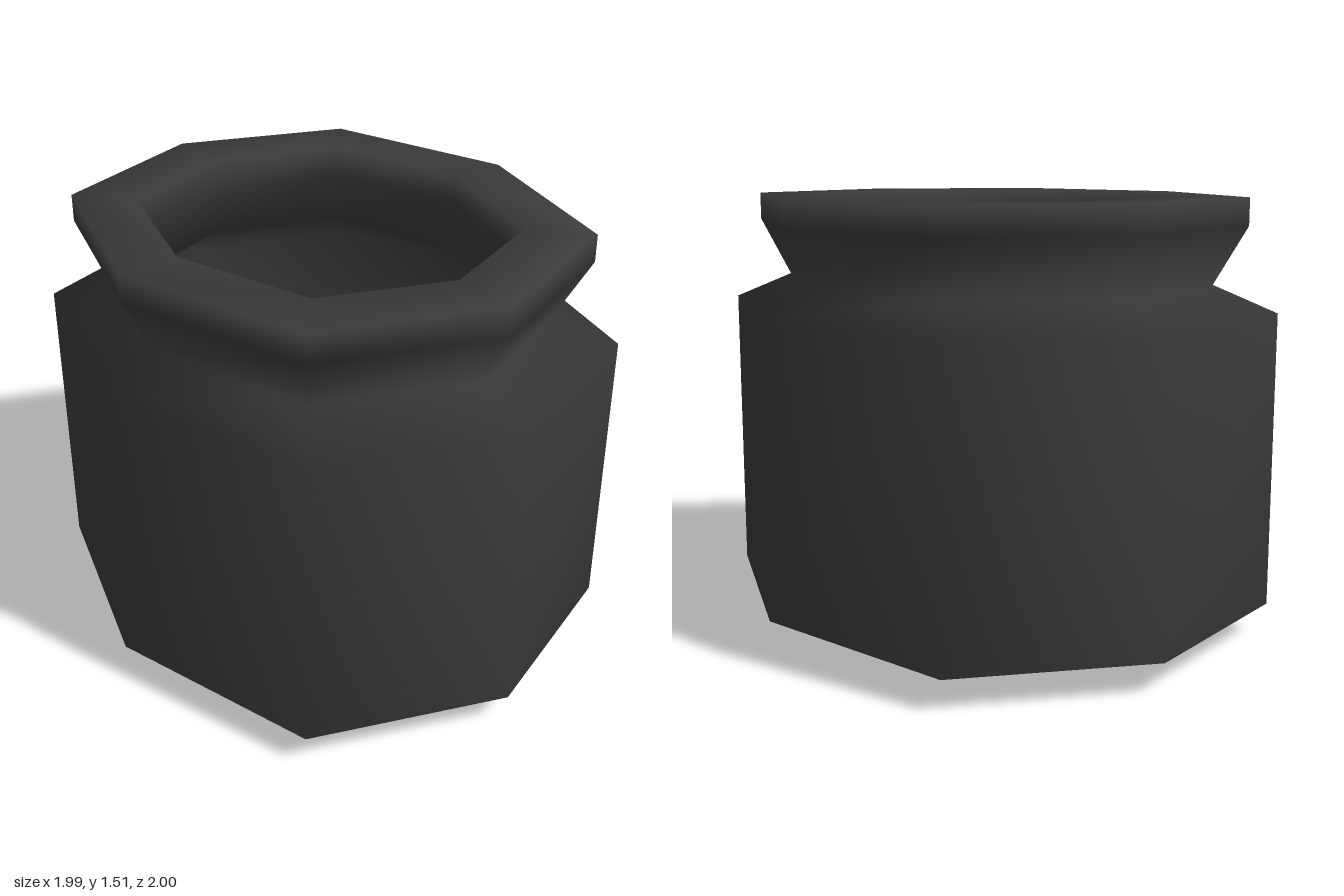
import * as THREE from 'three';

// Irregular eight-sided outline (x, z); the second half mirrors the first through the centre
const half = [[-0.02, -1], [0.655, -0.595], [0.995, 0.115], [0.675, 0.745]];
const outline = [...half, ...half.map(([x, z]) => [-x, -z])];

// Sweeps a profile of [radius, height] pairs around the outline, with smooth normals
function sweep(profile) {
  const n = outline.length;
  const positions = [];
  const index = [];
  for (const [r, y] of profile) {
    for (const [x, z] of outline) positions.push(x * r, y, z * r);
  }
  for (let i = 0; i < profile.length - 1; i++) {
    for (let j = 0; j < n; j++) {
      const a = i * n + j;
      const b = i * n + (j + 1) % n;
      if (profile[i][0] > 0) index.push(b, a, a + n);
      if (profile[i + 1][0] > 0) index.push(b, a + n, b + n);
    }
  }
  const geometry = new THREE.BufferGeometry();
  geometry.setAttribute('position', new THREE.Float32BufferAttribute(positions, 3));
  geometry.setIndex(index);
  geometry.computeVertexNormals();
  return geometry;
}

export function createModel() {
  const model = new THREE.Group();
  model.name = 'pot';
  const material = new THREE.MeshStandardMaterial({ color: 0x3a3a3a });

  // One continuous wall: underside, body, neck, rim, then down into the cavity
  const pot = new THREE.Mesh(sweep([
    [0, 0], [0.41, 0], [0.79, 0.03], [1, 0.11],
    [1, 1.13], [0.78, 1.22],
    [0.895, 1.42], [0.895, 1.515],
    [0.66, 1.515], [0.66, 1.42],
    [0.7, 1.22], [0.9, 1.08], [0.9, 0.25], [0.45, 0.12], [0, 0.1],
  ]), material);
  pot.name = 'potWall';
  model.add(pot);
  return model;
}
